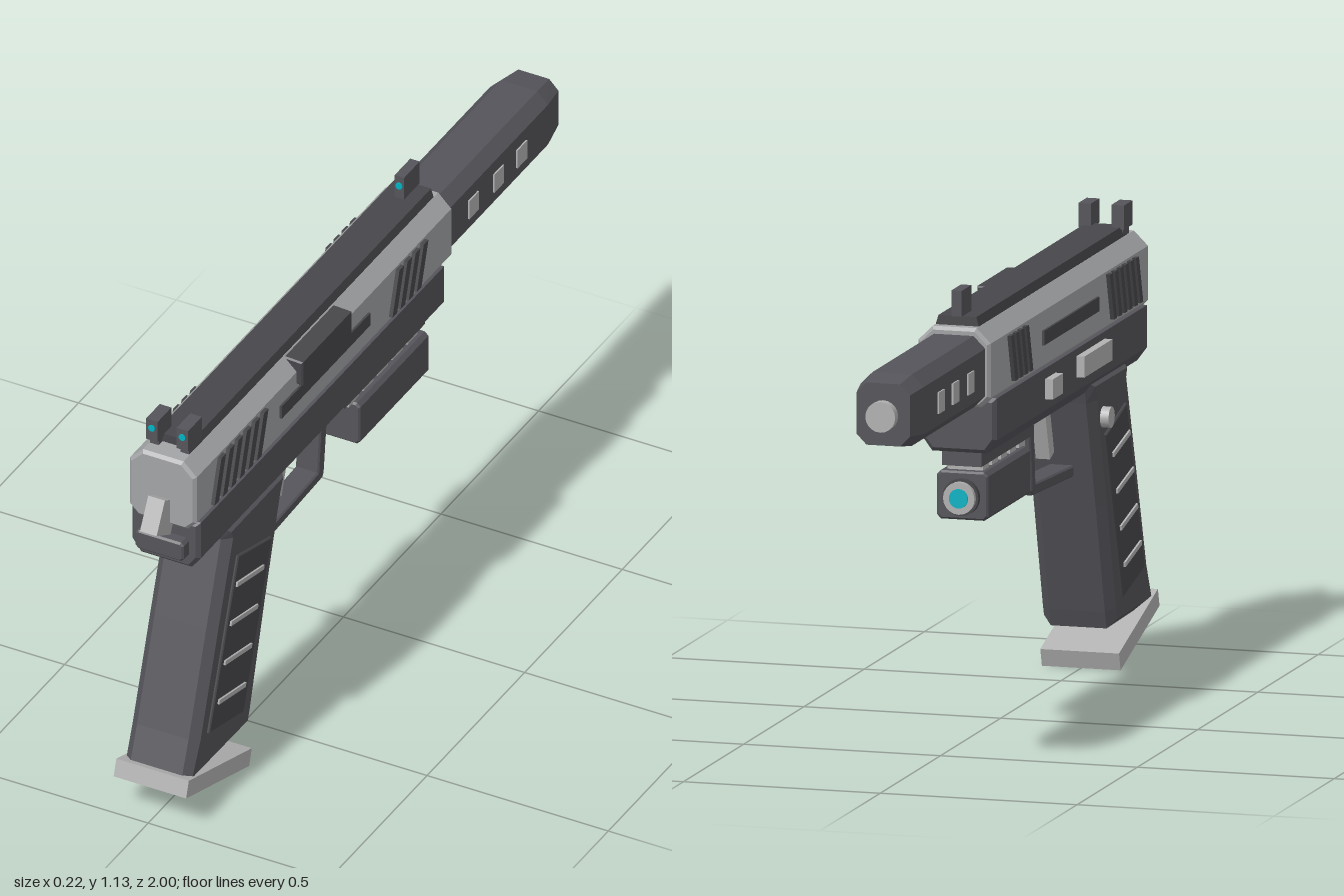
import * as THREE from 'three';

const mat = (name, color) => {
  const m = new THREE.MeshStandardMaterial({ color });
  m.name = name;
  return m;
};

export function createModel() {
  const dark = mat('dark polymer', 0x55545a);
  const black = mat('black steel', 0x47474b);
  const steel = mat('slide steel', 0xa3a4a6);
  const light = mat('light steel', 0xb2b2b2);
  const cyan = mat('cyan glow', 0x00b4c4);

  const model = new THREE.Group();
  const add = (name, geometry, material) => {
    const m = new THREE.Mesh(geometry, material);
    m.name = name;
    model.add(m);
    return m;
  };

  // Box with optional tilt about x
  const box = (name, material, [x, y, z], [w, h, d], tilt = 0) => {
    const m = add(name, new THREE.BoxGeometry(w, h, d), material);
    m.position.set(x, y, z);
    m.rotation.x = tilt;
    return m;
  };

  const extrude = (points, depth, bevel) => new THREE.ExtrudeGeometry(
    new THREE.Shape(points.map(([a, b]) => new THREE.Vector2(a, b))),
    { depth: depth - 2 * bevel, bevelEnabled: bevel > 0, bevelSize: bevel, bevelThickness: bevel,
      bevelOffset: -bevel, bevelSegments: 1 }
  ).translate(0, 0, bevel);

  // Cross-section in (x, y) swept from z0 to z1
  const sweepZ = (name, material, points, z0, z1, bevel = 0) =>
    add(name, extrude(points, z1 - z0, bevel).translate(0, 0, z0), material);

  // Side profile in (z, y) swept across x
  const sweepX = (name, material, points, x0, x1, bevel = 0) =>
    add(name, extrude(points.map(([z, y]) => [-z, y]), x1 - x0, bevel)
      .rotateY(Math.PI / 2).translate(x0, 0, 0), material);

  // Chamfered rectangle: half width, bottom, top, bottom chamfer, top chamfer
  const octagon = (w, b, t, cb, ct) => [
    [-w + cb, b], [w - cb, b], [w, b + cb], [w, t - ct],
    [w - ct, t], [-w + ct, t], [-w, t - ct], [-w, b + cb]];

  // Cylinder along z or x
  const disc = (name, material, r, length, [x, y, z], axis = 'z', sides = 20) => {
    const g = new THREE.CylinderGeometry(r, r, length, sides);
    if (axis === 'z') g.rotateX(Math.PI / 2); else g.rotateZ(Math.PI / 2);
    add(name, g, material).position.set(x, y, z);
  };

  // Slide and top rib
  sweepZ('slide', steel, octagon(0.092, 0.85, 1.045, 0.025, 0.036), -0.39, 0.93, 0.008);
  sweepZ('topRib', black, [[-0.058, 1.035], [0.058, 1.035], [0.048, 1.068], [-0.048, 1.068]], -0.36, 0.87);

  // Frame with chamfered underside and rear plate
  sweepZ('frame', dark, [[-0.07, 0.728], [0.07, 0.728], [0.095, 0.762], [0.095, 0.866],
    [-0.095, 0.866], [-0.095, 0.762]], -0.35, 0.915, 0.01);
  sweepZ('rearPlate', dark, octagon(0.067, 0.763, 0.817, 0.008, 0.008), 0.9, 0.945, 0.005);

  // Barrel shroud with tapered nose, and muzzle
  sweepZ('barrelShroud', dark, octagon(0.08, 0.85, 1.027, 0.03, 0.03), -0.9, -0.38);
  const nose = extrude(octagon(0.08, 0.85, 1.027, 0.03, 0.03), 0.075, 0).translate(0, 0, -0.975);
  const p = nose.attributes.position;
  for (let i = 0; i < p.count; i++) {
    if (p.getZ(i) < -0.95) p.setXY(i, p.getX(i) * 0.85, 0.9385 + (p.getY(i) - 0.9385) * 0.87);
  }
  nose.computeVertexNormals();
  add('shroudNose', nose, dark);
  disc('muzzle', light, 0.038, 0.035, [0, 0.936, -0.9825]);

  // Details repeated on both sides
  for (const s of [-1, 1]) {
    for (const z of [-0.515, -0.643, -0.762])
      box('shroudWindow', light, [s * 0.0805, 0.936, z], [0.007, 0.053, 0.05]);

    const serration = (z) => sweepX('serration', black,
      [[z + 0.03, 0.885], [z + 0.006, 0.885], [z - 0.03, 1.003], [z - 0.006, 1.003]],
      s * 0.096 - 0.006, s * 0.096 + 0.006);
    for (let i = 0; i < 6; i++) serration(0.82 - i * 0.0435);
    for (let i = 0; i < 4; i++) serration(-0.092 - i * 0.0415);

    box('slideGroove', black, [s * 0.092, 0.944, 0.27], [0.012, 0.036, 0.455]);

    // Grip panel and its ridges
    sweepX('gripPanel', black, [[0.722, 0.658], [0.872, 0.225], [0.695, 0.182], [0.55, 0.61]],
      s * 0.09 - 0.01, s * 0.09 + 0.01, 0.003);
    for (let i = 0; i < 4; i++)
      box('gripRidge', light, [s * 0.1, 0.568 - i * 0.0967, 0.668 + i * 0.031], [0.01, 0.012, 0.14], -0.22);

    // Rear sight post
    box('rearSight', dark, [s * 0.042, 1.093, 0.868], [0.032, 0.06, 0.07]);
    box('rearSightFoot', dark, [s * 0.042, 1.06, 0.865], [0.024, 0.03, 0.05]);
    disc('rearSightDot', cyan, 0.009, 0.006, [s * 0.042, 1.1, 0.903]);
  }

  // Front sight
  box('frontSight', dark, [0, 1.1, -0.327], [0.026, 0.064, 0.08]);
  box('frontSightFoot', dark, [0, 1.06, -0.327], [0.022, 0.03, 0.045]);
  disc('frontSightDot', cyan, 0.009, 0.006, [0, 1.105, -0.286]);

  // Ejection cover
  sweepZ('ejectionCover', black, [[0.05, 0.972], [0.108, 0.972], [0.108, 1.04], [0.05, 1.043]], 0.155, 0.41, 0.004);

  // Hammer
  box('hammer', light, [0, 0.881, 0.943], [0.046, 0.09, 0.08], -0.49);

  // Grip and magazine base
  sweepX('grip', dark, [[0.77, 0.76], [0.76, 0.72], [0.835, 0.5], [0.925, 0.23], [0.965, 0.125],
    [0.955, 0.116], [0.647, 0.112], [0.632, 0.155], [0.556, 0.428], [0.475, 0.7], [0.455, 0.76]],
    -0.093, 0.093, 0.022);
  box('magazineBase', light, [0, 0.078, 0.823], [0.2, 0.046, 0.338], -0.3);

  // Trigger and guard
  box('trigger', light, [0, 0.655, 0.346], [0.036, 0.14, 0.038], -0.31);
  sweepX('triggerGuard', dark, [[0.135, 0.74], [0.17, 0.74], [0.187, 0.555], [0.503, 0.54],
    [0.503, 0.512], [0.165, 0.528], [0.157, 0.54]], -0.032, 0.032, 0.004);

  // Accessory rail with teeth
  box('rail', dark, [0, 0.71, -0.117], [0.1, 0.04, 0.415]);
  for (let i = 0; i < 5; i++)
    box('railTooth', light, [0, 0.683, 0.03 - i * 0.075], [0.09, 0.02, 0.052]);

  // Under-barrel light
  sweepZ('lightBody', dark, octagon(0.065, 0.556, 0.676, 0.01, 0.01), -0.32, 0.037, 0.005);
  disc('lightBezel', black, 0.046, 0.02, [0, 0.614, -0.325]);
  disc('lightRing', light, 0.04, 0.03, [0, 0.614, -0.334]);
  disc('lightLens', cyan, 0.024, 0.006, [0, 0.614, -0.35]);

  // Controls on the -x side
  box('slideRelease', light, [-0.102, 0.822, 0.435], [0.026, 0.052, 0.235]);
  box('takedownLever', light, [-0.102, 0.815, 0.1], [0.026, 0.05, 0.085]);
  disc('magazineButton', light, 0.026, 0.03, [-0.1, 0.656, 0.545], 'x');

  return model;
}
